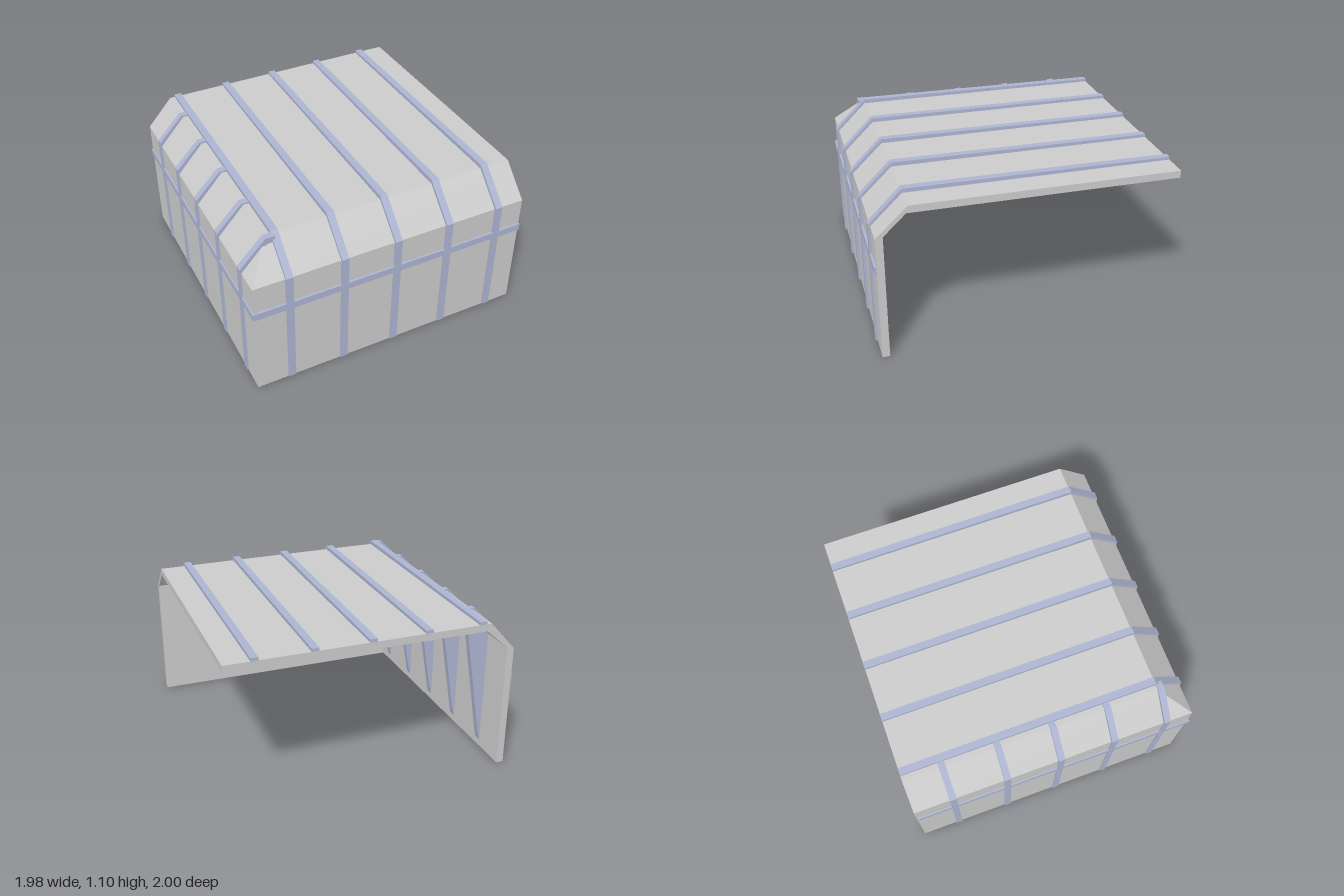
import * as THREE from 'three';

const shellMat = new THREE.MeshStandardMaterial({ color: 0xcccccc, flatShading: true });
const ribMat = new THREE.MeshStandardMaterial({ color: 0xacb4d0, flatShading: true });

// Two walls and a roof joined by a bevel; open at the back, the +x end and below.
function shellGeometry() {
  const positions = [];
  const quad = (a, b, c, d) => positions.push(...a, ...b, ...c, ...a, ...c, ...d);

  // levels: [side wall x, y, front wall z]; points E = +x end, C = corner, B = back end
  const skin = (levels) => ({
    E: levels.map(([, y, z]) => [0.985, y, z]),
    C: levels.map(([x, y, z]) => [x, y, z]),
    B: levels.map(([x, y]) => [x, y, -1]),
    R: [0.985, levels[2][1], -1],
  });
  const outer = skin([[-0.982, 0, 0.982], [-0.982, 0.87, 0.982], [-0.8, 1.072, 0.775]]);
  const inner = skin([[-0.932, 0, 0.932], [-0.932, 0.88, 0.932], [-0.77, 1.022, 0.785]]);

  const addSkin = ({ E, C, B, R }, flip) => {
    const face = (a, b, c, d) => (flip ? quad(d, c, b, a) : quad(a, b, c, d));
    for (let i = 0; i < 2; i++) {
      face(C[i], E[i], E[i + 1], C[i + 1]);
      face(B[i], C[i], C[i + 1], B[i + 1]);
    }
    face(C[2], E[2], R, B[2]);
  };
  addSkin(outer, false);
  addSkin(inner, true);

  // Close the thickness all along the free border
  const border = ({ E, C, B, R }) => [B[0], C[0], E[0], E[1], E[2], R, B[2], B[1]];
  const o = border(outer), n = border(inner);
  o.forEach((p, i) => {
    const j = (i + 1) % o.length;
    quad(o[j], p, n[i], n[j]);
  });

  const geometry = new THREE.BufferGeometry();
  geometry.setAttribute('position', new THREE.Float32BufferAttribute(positions, 3));
  geometry.computeVertexNormals();
  return geometry;
}

// Profile in (x, y), extruded along z and centred on it
function band(profile, width) {
  const shape = new THREE.Shape(profile.map(([x, y]) => new THREE.Vector2(x, y)));
  return new THREE.ExtrudeGeometry(shape, { depth: width, bevelEnabled: false }).translate(0, 0, -width / 2);
}

export function createModel() {
  const group = new THREE.Group();
  const add = (name, geometry, material, x = 0, y = 0, z = 0) => {
    const mesh = new THREE.Mesh(geometry, material);
    mesh.name = name;
    mesh.position.set(x, y, z);
    group.add(mesh);
  };

  add('shell', shellGeometry(), shellMat);

  // Ribs up the front wall, over the bevel and along the roof
  const frontRib = band([
    [0.97, 0.01], [0.997, 0.01], [0.997, 0.88], [0.775, 1.1], [-1, 1.092],
    [-1, 1.06], [0.77, 1.06], [0.97, 0.865],
  ], 0.05).rotateY(-Math.PI / 2);

  // Ribs up the side wall, ending on the roof
  const sideRib = band([
    [-0.97, 0.01], [-0.97, 0.865], [-0.8, 1.04], [-0.75, 1.04],
    [-0.75, 1.083], [-0.815, 1.083], [-0.993, 0.9], [-0.993, 0.01],
  ], 0.045);

  // Tapered braces inside the side wall
  const brace = band([
    [-0.945, 0.05], [-0.93, 0.05], [-0.915, 0.1], [-0.755, 1.03], [-0.78, 1.03], [-0.945, 0.88],
  ], 0.045);

  for (let i = 0; i < 5; i++) {
    add('frontRib', frontRib, ribMat, -0.74 + i * 0.382);
    const z = -0.73 + i * 0.381;
    add('sideRib', sideRib, ribMat, 0, 0, z);
    add('innerBrace', brace, ribMat, 0, 0, z);
  }

  // Horizontal rails across both walls
  add('frontRail', new THREE.BoxGeometry(1.977, 0.05, 0.025), ribMat, -0.0045, 0.65, 0.985);
  add('sideRail', new THREE.BoxGeometry(0.022, 0.05, 1.985), ribMat, -0.982, 0.65, 0.0);

  return group;
}
